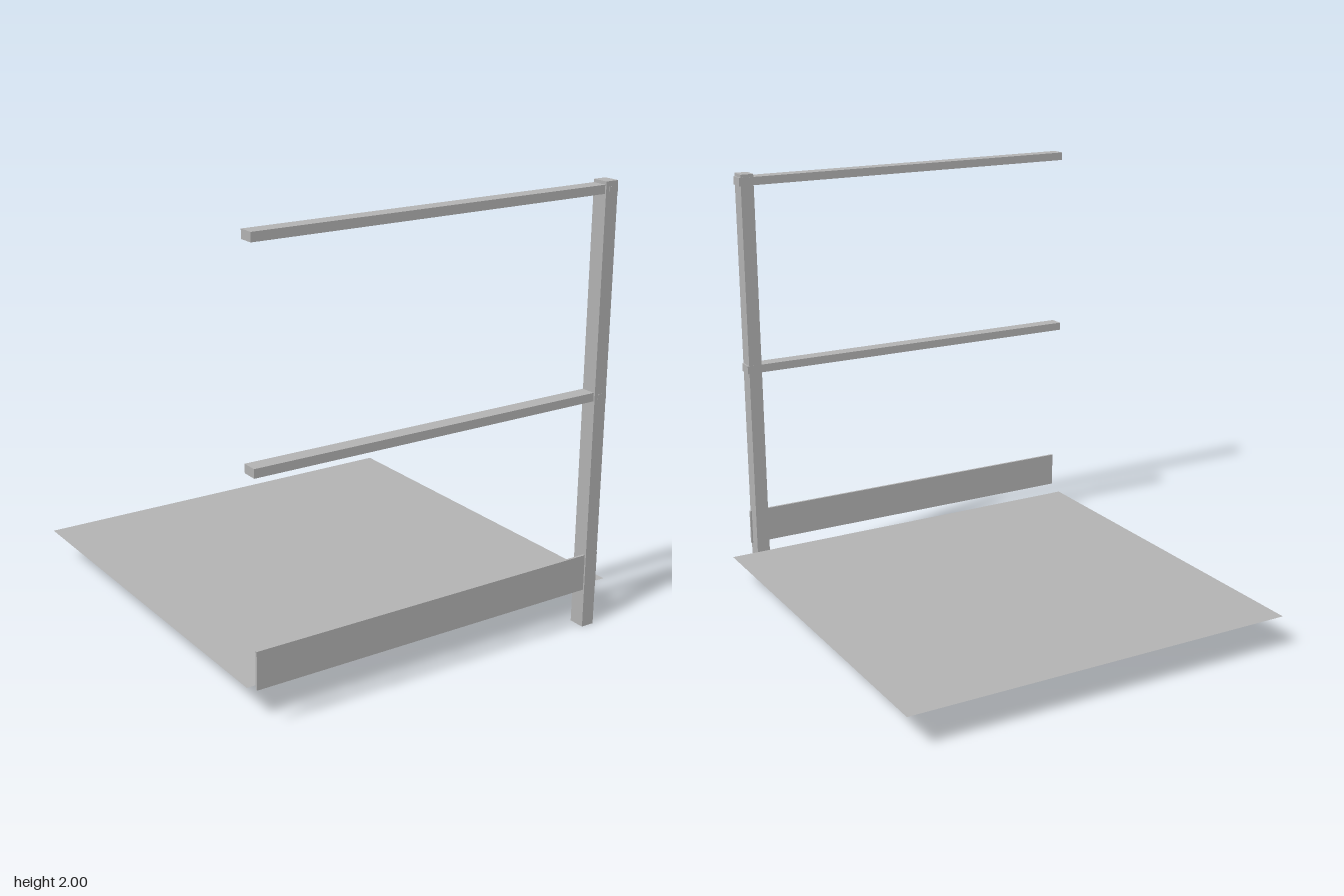
import * as THREE from 'three';

export function createModel() {
  const group = new THREE.Group();
  group.name = 'guardrail';
  const grey = new THREE.MeshStandardMaterial({ color: 0xb2b2b2, side: THREE.DoubleSide });
  grey.name = 'grey';

  // axis-aligned box given by its lower and upper limits
  function bar(name, [x0, x1], [y0, y1], [z0, z1]) {
    const mesh = new THREE.Mesh(new THREE.BoxGeometry(x1 - x0, y1 - y0, z1 - z0), grey);
    mesh.position.set((x0 + x1) / 2, (y0 + y1) / 2, (z0 + z1) / 2);
    mesh.name = name;
    group.add(mesh);
  }

  const span = [-0.935, 0.81];
  bar('post', [0.739, 0.802], [0, 2], [0.9, 0.975]);
  bar('toeBoard', span, [0.178, 0.344], [0.957, 0.968]);

  // rails, each held by a small square bolt head on the post
  for (const [name, y] of [['middleRail', 1.075], ['topRail', 1.967]]) {
    bar(name, span, [y - 0.019, y + 0.019], [0.899, 0.968]);
    bar(name + 'Bolt', [0.757, 0.785], [y - 0.011, y + 0.011], [0.97, 0.977]);
  }

  // thin floor sheet
  const floor = new THREE.Mesh(new THREE.PlaneGeometry(1.87, 1.865).rotateX(-Math.PI / 2), grey);
  floor.position.set(0, 0.153, -0.0445);
  floor.name = 'floor';
  group.add(floor);

  return group;
}
